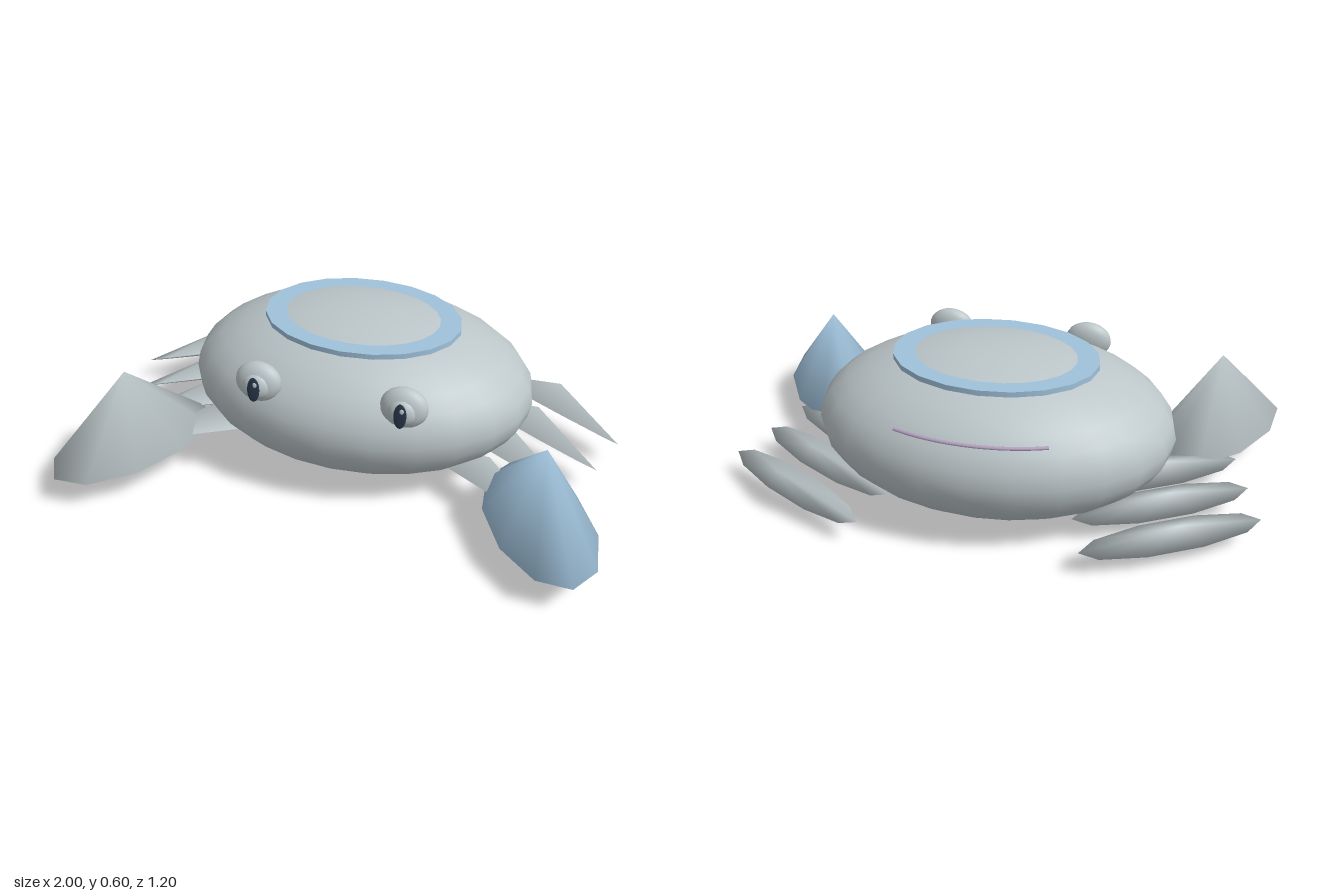
import * as THREE from 'three';
import { mergeVertices } from 'three/addons/utils/BufferGeometryUtils.js';

const paint = (name, color) => {
  const m = new THREE.MeshStandardMaterial({ color });
  m.name = name;
  return m;
};

// Ten-sided cone standing on its own origin, with normals shared between side and base
function softCone(rx, height, rz) {
  let g = new THREE.ConeGeometry(1, 1, 10, 1);
  g.translate(0, 0.5, 0);
  g.scale(rx, height, rz);
  g.deleteAttribute('uv');
  g.deleteAttribute('normal');
  g = mergeVertices(g, 1e-4);
  g.computeVertexNormals();
  return g;
}

export function createModel() {
  const group = new THREE.Group();
  const grey = paint('shell grey', 0xbcc6c9);
  const blue = paint('pale blue', 0xa0c2db);
  const dark = paint('pupil navy', 0x26364a);
  const lilac = paint('lilac', 0xb9a6c6);

  const add = (name, geometry, material, x, y, z, parent = group) => {
    const mesh = new THREE.Mesh(geometry, material);
    mesh.name = name;
    mesh.position.set(x, y, z);
    parent.add(mesh);
    return mesh;
  };
  const ball = (rx, ry, rz, w = 20, h = 14) => new THREE.SphereGeometry(1, w, h).scale(rx, ry, rz);

  // Body and the band around the top of the shell
  add('body', ball(0.65, 0.298, 0.467, 24, 16), grey, 0, 0.302, -0.133);
  const band = new THREE.CylinderGeometry(1, 1, 0.02, 20).scale(0.37, 1, 0.27);
  add('shellBand', band, blue, 0, 0.557, -0.133);

  // Thin curved line across the back
  const points = [];
  for (let i = 0; i <= 8; i++) {
    const x = -0.265 + (0.53 * i) / 8;
    points.push(new THREE.Vector3(x, 0.44, -0.133 - 0.415 * Math.sqrt(1 - (x / 0.576) ** 2)));
  }
  const line = new THREE.TubeGeometry(new THREE.CatmullRomCurve3(points), 24, 0.007, 6);
  add('backLine', line, lilac, 0, 0, 0);

  const clawShape = softCone(0.184, 0.31, 0.342);
  const legShape = softCone(0.06, 0.104, 0.336);

  for (const s of [-1, 1]) {
    const side = s > 0 ? 'left' : 'right';

    // Claw
    const claw = add(side + 'Claw', clawShape, s > 0 ? blue : grey, s * 0.773, 0.12, 0.3);
    claw.rotation.y = s * 0.5;

    // Four legs, stepping outward toward the back
    for (let i = 0; i < 4; i++) {
      const leg = add(side + 'Leg' + (i + 1), legShape, grey,
        s * (0.515 + 0.055 * i), 0.1, 0.128 - 0.185 * i);
      leg.rotation.set(0, s * 1.055, s * -0.62);
    }

    // Eye: flat ball, bulging iris, pupil and glint
    const eye = new THREE.Group();
    eye.name = side + 'Eye';
    eye.position.set(s * 0.267, 0.461, 0.25);
    eye.rotation.x = -0.15;
    group.add(eye);
    add('eyeball', ball(0.086, 0.075, 0.043), grey, 0, 0, 0, eye);
    add('iris', ball(0.052, 0.05, 0.03), grey, 0, -0.008, 0.025, eye);
    add('pupil', ball(0.023, 0.046, 0.005), dark, 0, -0.012, 0.053, eye);
    add('glint', ball(0.008, 0.01, 0.003, 10, 6), grey, 0.006, 0.008, 0.057, eye);
  }
  return group;
}
